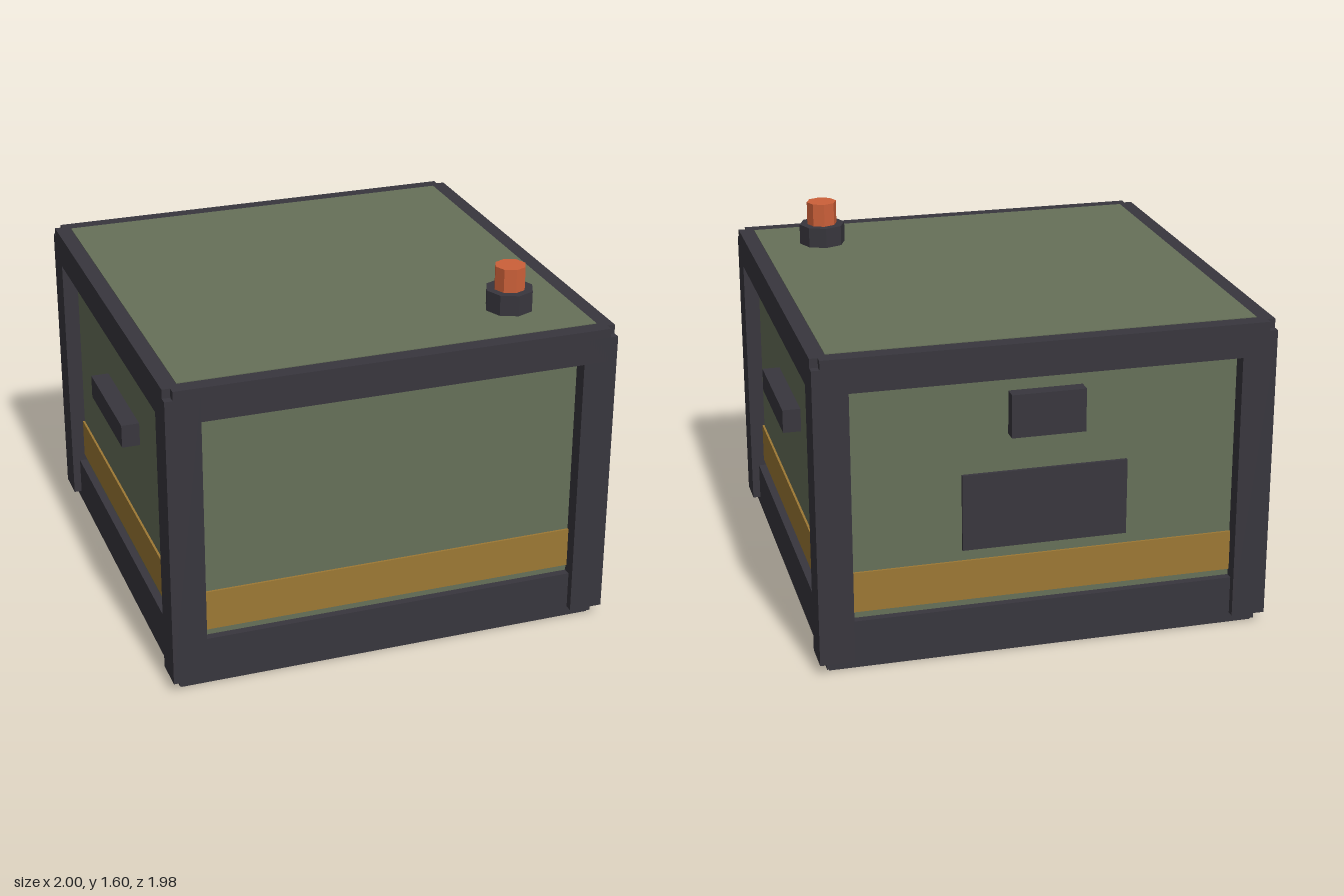
import * as THREE from 'three';

const mat = (name, color) => {
  const m = new THREE.MeshStandardMaterial({ color });
  m.name = name;
  return m;
};

export function createModel() {
  const olive = mat('olive panel', 0x667059);
  const dark = mat('dark frame', 0x38363d);
  const gold = mat('gold band', 0x9c7834);
  const orange = mat('orange cap', 0xcc6039);

  const root = new THREE.Group();
  root.name = 'crate';

  const add = (name, geometry, material, x, y, z) => {
    const mesh = new THREE.Mesh(geometry, material);
    mesh.name = name;
    mesh.position.set(x, y, z);
    root.add(mesh);
    return mesh;
  };
  // Box given by its lower and upper corners
  const box = (name, material, [x0, y0, z0], [x1, y1, z1]) =>
    add(name, new THREE.BoxGeometry(x1 - x0, y1 - y0, z1 - z0), material,
      (x0 + x1) / 2, (y0 + y1) / 2, (z0 + z1) / 2);

  // Body, painted band and base; the body top sits just above the rails
  box('body', olive, [-0.92, 0.01, -0.92], [0.92, 1.403, 0.92]);
  box('band', gold, [-0.93, 0.25, -0.93], [0.93, 0.43, 0.93]);
  box('base', dark, [-0.955, 0.01, -0.955], [0.955, 0.22, 0.955]);
  box('baseFoot', dark, [-0.945, 0, -0.945], [0.945, 0.01, 0.945]);

  for (const s of [-1, 1]) {
    // Corner posts
    for (const t of [-1, 1]) {
      add('cornerPost', new THREE.BoxGeometry(0.15, 1.31, 0.15), dark, s * 0.915, 0.705, t * 0.915);
    }
    // Top rails, stopping short of the corners to leave small notches
    add('topRailAcross', new THREE.BoxGeometry(1.91, 0.15, 0.15), dark, 0, 1.325, s * 0.915);
    add('topRailSide', new THREE.BoxGeometry(0.15, 0.15, 1.91), dark, s * 0.915, 1.325, 0);
    // Side handles
    add('sideHandle', new THREE.BoxGeometry(0.09, 0.105, 0.55), dark, s * 0.955, 0.877, 0);
  }

  // Back plate and latch
  box('backPlate', dark, [-0.36, 0.48, -0.935], [0.36, 0.82, -0.91]);
  box('backLatch', dark, [-0.16, 0.985, -0.98], [0.16, 1.175, -0.91]);

  // Knob on the lid
  const prism = (r, h) => new THREE.CylinderGeometry(r, r, h, 8).toNonIndexed();
  for (const [name, r, y0, y1, m] of [
    ['knobBase', 0.106, 1.39, 1.495, dark],
    ['knobCap', 0.069, 1.48, 1.6, orange],
  ]) {
    const g = prism(r, y1 - y0);
    g.computeVertexNormals();
    add(name, g, m, 0.64, (y0 + y1) / 2, 0.64);
  }

  return root;
}
